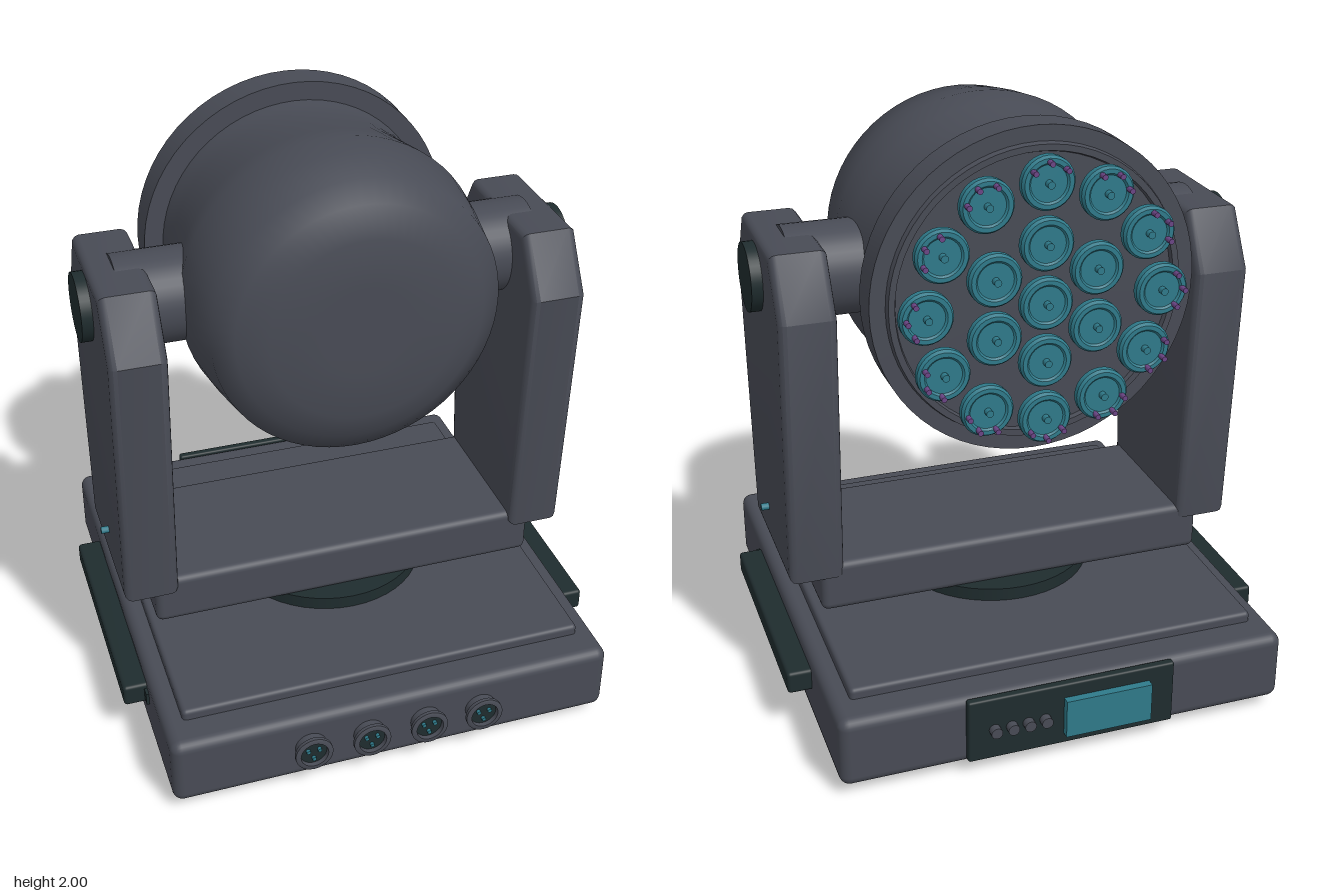
import * as THREE from 'three';
import { toCreasedNormals } from 'three/addons/utils/BufferGeometryUtils.js';
import { RoundedBoxGeometry } from 'three/addons/geometries/RoundedBoxGeometry.js';

export function createModel() {
  const root = new THREE.Group();
  root.name = 'movingHeadLight';

  const material = (name, color) => {
    const m = new THREE.MeshStandardMaterial({ color });
    m.name = name;
    return m;
  };
  const grey = material('body grey', 0x484b55);
  const dark = material('dark trim', 0x1f2c2e);
  const teal = material('teal', 0x2f7a8a);
  const purple = material('purple', 0x6b4585);

  const add = (name, geometry, mat, x = 0, y = 0, z = 0, parent = root) => {
    const mesh = new THREE.Mesh(geometry, mat);
    mesh.name = name;
    mesh.position.set(x, y, z);
    parent.add(mesh);
    return mesh;
  };
  const group = (name, x = 0, y = 0, z = 0, parent = root) => {
    const g = new THREE.Group();
    g.name = name;
    g.position.set(x, y, z);
    parent.add(g);
    return g;
  };
  const rounded = (w, h, d, r) => new RoundedBoxGeometry(w, h, d, 3, r);
  const cylinderX = (r, l, n = 40) => new THREE.CylinderGeometry(r, r, l, n).rotateZ(Math.PI / 2);
  const cylinderZ = (r, l, n = 24) => new THREE.CylinderGeometry(r, r, l, n).rotateX(Math.PI / 2);
  // Turns [radius, z] points around the z axis
  const latheZ = (points, n = 48) =>
    new THREE.LatheGeometry(points.map(([r, z]) => new THREE.Vector2(r, z)), n).rotateX(Math.PI / 2);

  // Base
  add('base', rounded(1.52, 0.245, 1.58, 0.035), grey, 0, 0.1625, 0);
  add('baseTopPlate', rounded(1.39, 0.08, 1.35, 0.015), grey, 0, 0.28, 0);
  for (const x of [-0.58, 0.58]) {
    for (const z of [-0.54, 0.54]) {
      add('foot', new THREE.CylinderGeometry(0.072, 0.072, 0.05, 24), dark, x, 0.025, z);
    }
  }
  add('turntable', new THREE.CylinderGeometry(0.34, 0.34, 0.06, 48), dark, 0, 0.335, 0);

  // Front sockets
  const socketGeometry = toCreasedNormals(latheZ([
    [0.053, 0], [0.053, 0.028], [0.064, 0.03], [0.064, 0.042], [0.058, 0.045], [0.047, 0.045], [0.045, 0.028],
  ], 28), 0.6);
  for (const x of [-0.3, -0.1, 0.1, 0.295]) {
    const socket = group('socket', x, 0.165, 0.79);
    add('socketRing', socketGeometry, grey, 0, 0, 0, socket);
    add('socketFace', cylinderZ(0.046, 0.03), dark, 0, 0, 0.015, socket);
    for (let i = 0; i < 3; i++) {
      const a = Math.PI / 6 + i * Math.PI * 2 / 3;
      add('socketPin', cylinderZ(0.007, 0.014, 10), teal,
        Math.cos(a) * 0.022, Math.sin(a) * 0.022, 0.034, socket);
    }
  }

  // Rear control panel
  const panel = group('controlPanel', 0, 0.172, -0.8);
  add('panelPlate', rounded(0.705, 0.225, 0.03, 0.008), dark, 0, 0, 0, panel);
  add('panelScreen', new THREE.BoxGeometry(0.295, 0.135, 0.03), teal, -0.117, -0.005, -0.026, panel);
  for (const x of [0.095, 0.152, 0.208, 0.265]) {
    add('panelButton', cylinderZ(0.019, 0.03, 16), grey, x, -0.003, -0.026, panel);
  }

  // Yoke
  add('yokeBar', rounded(1.36, 0.175, 0.53, 0.025), grey, 0, 0.443, 0);
  const armShape = new THREE.Shape([
    [0.28, 0.485], [0.338, 1.42], [0.22, 1.61], [-0.22, 1.61], [-0.33, 1.42], [-0.27, 0.485],
  ].map(([z, y]) => new THREE.Vector2(z, y)));
  const bevel = 0.025;
  const armGeometry = toCreasedNormals(new THREE.ExtrudeGeometry(armShape, {
    depth: 0.185 - bevel * 2, bevelEnabled: true, bevelSize: bevel,
    bevelThickness: bevel, bevelOffset: -bevel, bevelSegments: 3,
  }).translate(0, 0, -(0.185 - bevel * 2) / 2).rotateY(-Math.PI / 2), 0.6);

  for (const s of [-1, 1]) {
    const side = s > 0 ? 'left' : 'right';
    add(side + 'Arm', armGeometry, grey, s * 0.693, 0, 0);
    add(side + 'Axle', cylinderX(0.155, 0.3), grey, s * 0.55, 1.47, 0);
    add(side + 'AxleCap', cylinderX(0.113, 0.05), dark, s * 0.797, 1.47, 0);
    add(side + 'ArmPin', cylinderX(0.012, 0.03, 12), teal, s * 0.797, 0.62, 0.04);
    add(side + 'Handle', rounded(0.09, 0.078, 0.83, 0.012), dark, s * 0.795, 0.2, 0.005);
    add(side + 'HandleEnd', new THREE.BoxGeometry(0.04, 0.045, 0.05), dark, s * 0.75, 0.198, 0.425);
  }

  // Head
  const head = group('head', 0, 1.47, 0);
  add('headShell', latheZ([
    [0.47, -0.34], [0.463, -0.28], [0.462, -0.21], [0.475, -0.1], [0.493, 0], [0.51, 0.1],
    [0.497, 0.2], [0.472, 0.34], [0.405, 0.38], [0.31, 0.422], [0.15, 0.424], [0, 0.424],
  ], 64), grey, 0, 0, 0, head);
  add('headRim', toCreasedNormals(latheZ([
    [0, -0.432], [0.45, -0.432], [0.455, -0.447], [0.475, -0.447], [0.48, -0.428],
    [0.53, -0.428], [0.53, -0.315], [0.44, -0.315],
  ], 64), 0.5), grey, 0, 0, 0, head);

  // Lens array: centre, ring of six, ring of twelve
  const lensGeometry = toCreasedNormals(latheZ([
    [0, -0.53], [0.058, -0.53], [0.064, -0.536], [0.078, -0.536], [0.085, -0.526], [0.085, -0.505],
    [0.076, -0.495], [0, -0.495],
  ], 28), 0.6);
  const rings = [[1, 0], [6, 0.19], [12, 0.38]];
  for (const [count, radius] of rings) {
    for (let i = 0; i < count; i++) {
      const a = Math.PI / 2 + (i / count) * Math.PI * 2;
      const lens = group('lens', Math.cos(a) * radius, Math.sin(a) * radius, 0, head);
      add('lensDisc', lensGeometry, teal, 0, 0, 0, lens);
      add('lensStud', cylinderZ(0.012, 0.025, 12), teal, 0, 0, -0.54, lens);
      if (count < 12) continue;
      // Retaining pegs on the outer lenses
      for (const turn of [-0.9, 0, 0.9]) {
        add('lensPeg', cylinderZ(0.009, 0.034, 10), purple,
          Math.cos(a + turn) * 0.066, Math.sin(a + turn) * 0.066, -0.545, lens);
      }
    }
  }
  return root;
}
